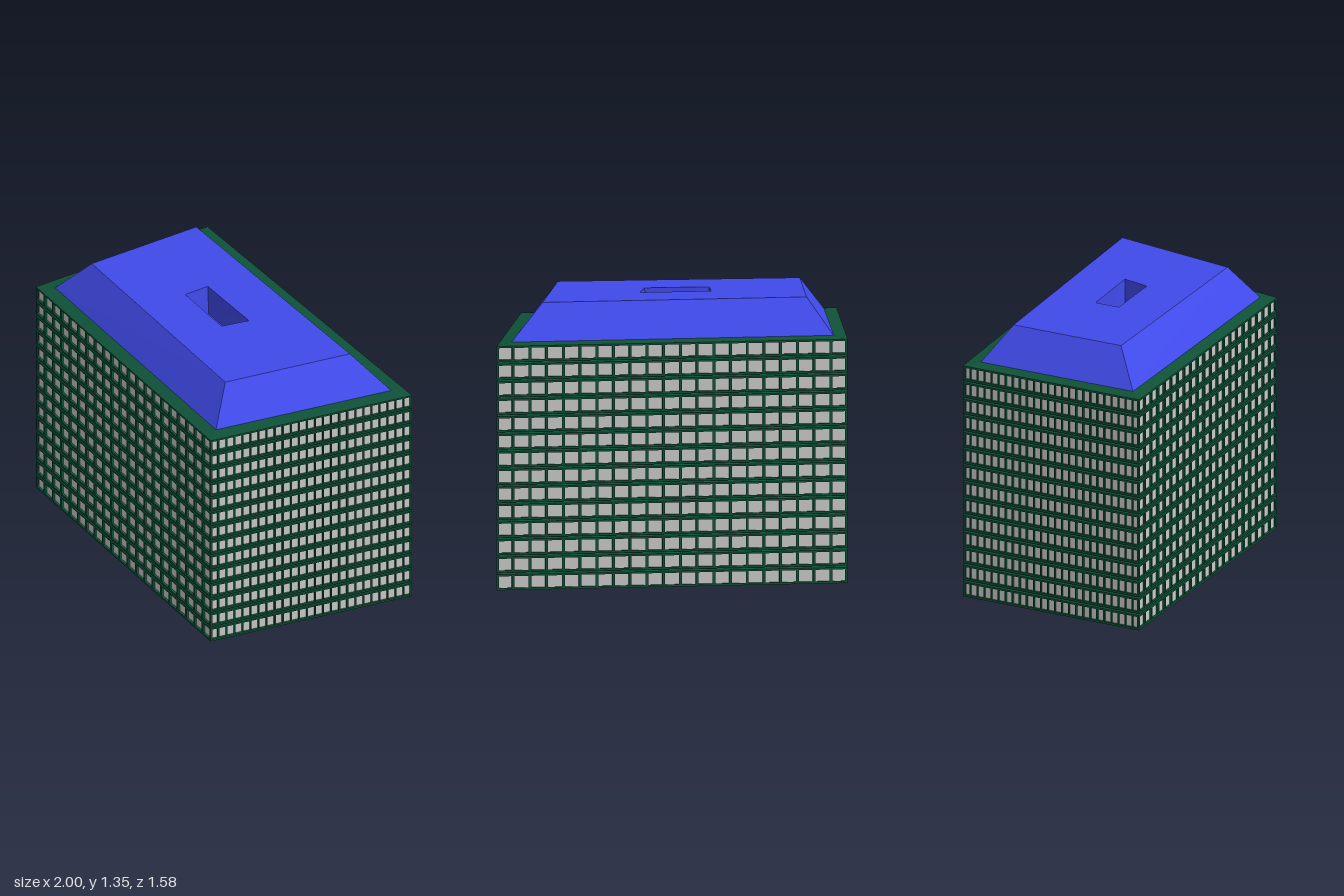
import * as THREE from 'three';

const FLOORS = 14, PITCH = 0.0846, BAND = 0.076, REVEAL = 0.012;

// Plan outlines as [x, z], counter-clockwise seen from above
const OUTER = [[-1, 0], [0.285, 0.787], [0.997, 0.045], [-0.467, -0.79]];
const INNER = [[-0.908, -0.02], [0.275, 0.705], [0.895, 0.062], [-0.45, -0.702]];
const ROOF_TOP = [[-0.735, -0.06], [0.25, 0.547], [0.69, 0.087], [-0.41, -0.542]];
const PIT = [[-0.225, -0.02], [0.04, 0.14], [0.14, 0.045], [-0.155, -0.125]];
const PIT_FLOOR = [[-0.21, -0.022], [0.04, 0.132], [0.126, 0.045], [-0.148, -0.118]];
const WINDOWS = [21, 25, 21, 25];

const green = new THREE.MeshStandardMaterial({ color: 0x0f5238 });
const blue = new THREE.MeshStandardMaterial({ color: 0x404aea });
const grey = new THREE.MeshStandardMaterial({ color: 0xcccccc });

// Faceted skin through a list of [outline, y] rings, with optional end caps
function loft(rings, capStart, capEnd) {
  const pos = [];
  const pts = rings.map(([plan, y]) => plan.map(([x, z]) => [x, y, z]));
  const quad = (a, b, c, d) => pos.push(...a, ...b, ...c, ...a, ...c, ...d);
  for (let r = 0; r < pts.length - 1; r++) {
    const lo = pts[r], hi = pts[r + 1];
    for (let i = 0; i < 4; i++) {
      const j = (i + 1) % 4;
      quad(lo[i], lo[j], hi[j], hi[i]);
    }
  }
  if (capStart) quad(...[...pts[0]].reverse());
  if (capEnd) quad(...pts[pts.length - 1]);
  const g = new THREE.BufferGeometry();
  g.setAttribute('position', new THREE.Float32BufferAttribute(pos, 3));
  g.computeVertexNormals();
  return g;
}

function rect(path, x, y, w, h) {
  path.moveTo(x, y);
  path.lineTo(x + w, y);
  path.lineTo(x + w, y + h);
  path.lineTo(x, y + h);
  path.closePath();
  return path;
}

// Wall band with a row of window openings
function wallGeometry(length, count) {
  const shape = rect(new THREE.Shape(), 0, 0, length, BAND);
  const step = length / count, w = step * 0.84;
  for (let i = 0; i < count; i++) {
    shape.holes.push(rect(new THREE.Path(), i * step + (step - w) / 2, 0.01, w, 0.057));
  }
  const g = new THREE.ExtrudeGeometry(shape, { depth: REVEAL, bevelEnabled: false });
  g.translate(0, 0, -REVEAL);
  return g;
}

export function createModel() {
  const model = new THREE.Group();

  // Geometry of the four sides, shared by every floor
  const sides = OUTER.map(([x, z], i) => {
    const [x2, z2] = OUTER[(i + 1) % 4];
    const dx = x2 - x, dz = z2 - z, length = Math.hypot(dx, dz);
    const pane = new THREE.PlaneGeometry(length - 0.02, BAND);
    pane.translate(length / 2, BAND / 2, -REVEAL + 0.001);
    return { x, z, angle: Math.atan2(-dz, dx), wall: wallGeometry(length, WINDOWS[i]), pane };
  });

  // Flat underside and sloped ledge above each band leave a tapering groove
  const underside = loft([[INNER, 0], [OUTER, 0]], true, false);
  const ledge = loft([[OUTER, BAND], [INNER, PITCH]], false, true);

  for (let f = 0; f < FLOORS; f++) {
    const floor = new THREE.Group();
    floor.name = 'floor' + (f + 1);
    floor.position.y = f * PITCH;
    const add = (name, geometry, material, parent = floor) => {
      const mesh = new THREE.Mesh(geometry, material);
      mesh.name = name;
      parent.add(mesh);
    };
    add('underside', underside, green);
    add('ledge', ledge, green);
    for (const s of sides) {
      const side = new THREE.Group();
      side.name = 'facade';
      side.position.set(s.x, 0, s.z);
      side.rotation.y = s.angle;
      add('windowWall', s.wall, green, side);
      add('windowPanes', s.pane, grey, side);
      floor.add(side);
    }
    model.add(floor);
  }

  // Sloped roof with a sunken rectangular shaft
  const top = FLOORS * PITCH;
  const roof = new THREE.Mesh(
    loft([[INNER, top], [ROOF_TOP, 1.353], [PIT, 1.353], [PIT_FLOOR, 1.2]], false, true), blue);
  roof.name = 'roof';
  model.add(roof);
  return model;
}
